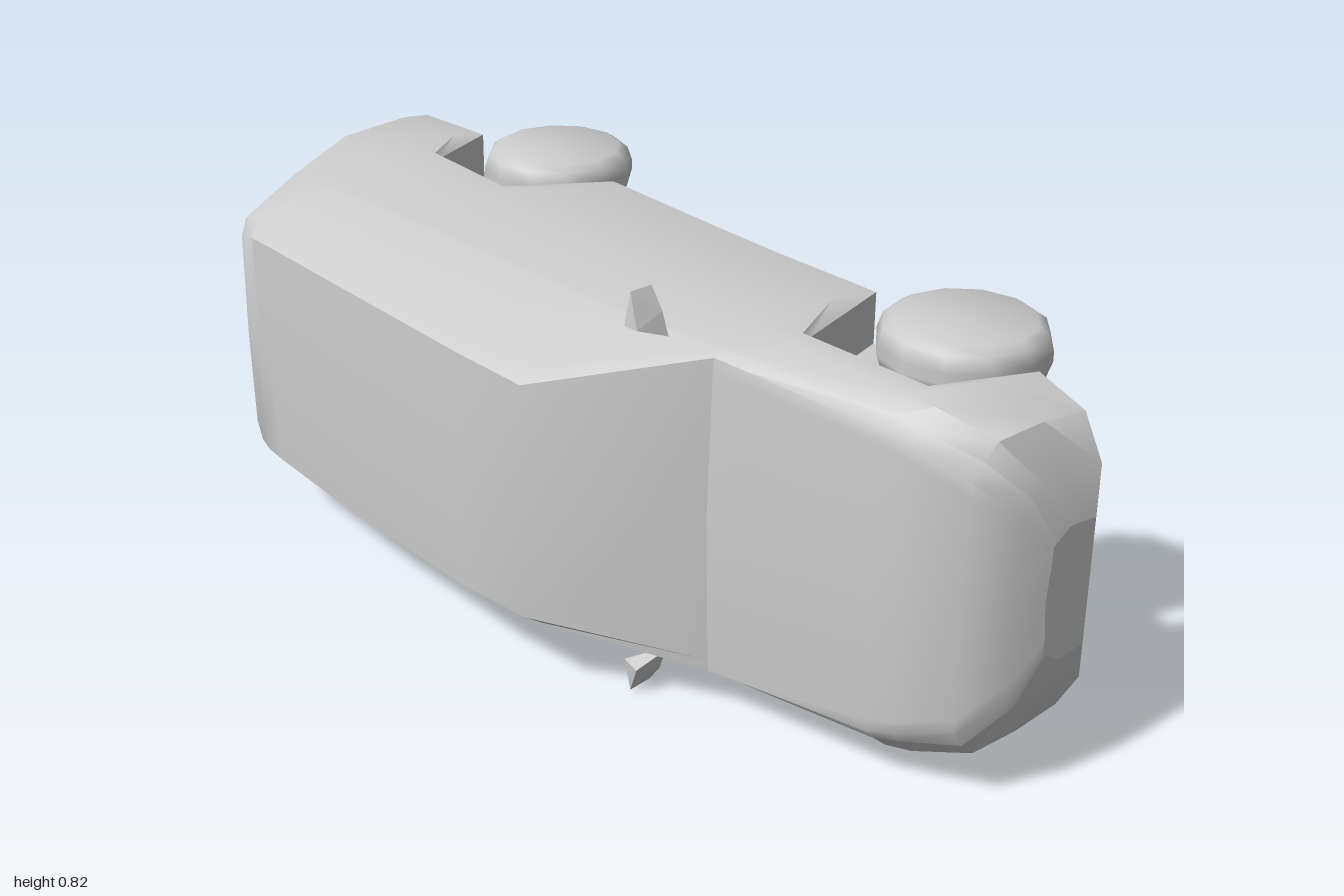
import * as THREE from 'three';
import { toCreasedNormals } from 'three/addons/utils/BufferGeometryUtils.js';
import { ConvexGeometry } from 'three/addons/geometries/ConvexGeometry.js';

// The car lies on its side: nose to +x, roof to +z, width along y.
const MID = 0.413;

// Piecewise linear lookup through [key, value] pairs
function lookup(pairs, t) {
  if (t <= pairs[0][0]) return pairs[0][1];
  for (let i = 1; i < pairs.length; i++) {
    const [k0, v0] = pairs[i - 1], [k1, v1] = pairs[i];
    if (t <= k1) return v0 + (v1 - v0) * (t - k0) / (k1 - k0);
  }
  return pairs[pairs.length - 1][1];
}

// Tail outline: x for a given height z
const TAIL = [[-0.2, -0.985], [-0.15, -0.975], [-0.05, -0.947], [0.05, -0.945], [0.35, -0.85], [0.41, -0.78]];

// Stations: x, floor z, sill or arch z, half width, belt z, belt half width, roof z, roof half width
const STATIONS = [
  [-1.00, -0.18, -0.18, 0.315, 0.20, 0.275, 0.375, 0.215],
  [-1.00, -0.19, -0.19, 0.342, 0.21, 0.305, 0.395, 0.235],
  [-0.75, -0.20, -0.20, 0.347, 0.22, 0.312, 0.400, 0.243],
  [-0.68, -0.21, -0.04, 0.349, 0.21, 0.317, 0.402, 0.246],
  [-0.42, -0.22, -0.03, 0.350, 0.20, 0.323, 0.407, 0.250],
  [-0.33, -0.23, -0.23, 0.351, 0.195, 0.325, 0.407, 0.250],
  [0.00, -0.225, -0.225, 0.352, 0.18, 0.327, 0.403, 0.247],
  [0.17, -0.225, -0.225, 0.352, 0.17, 0.328, 0.388, 0.240],
  [0.43, -0.23, -0.235, 0.352, 0.135, 0.330, 0.163, 0.295],
  [0.50, -0.225, 0.00, 0.351, 0.125, 0.330, 0.148, 0.290],
  [0.78, -0.225, -0.02, 0.347, 0.075, 0.318, 0.100, 0.270],
  [0.83, -0.225, -0.225, 0.340, 0.06, 0.305, 0.085, 0.255],
  [0.935, -0.225, -0.225, 0.305, 0.02, 0.275, 0.045, 0.215],
  [0.98, -0.225, -0.225, 0.220, -0.05, 0.205, -0.030, 0.150],
  [0.998, -0.20, -0.20, 0.130, -0.105, 0.110, -0.095, 0.080],
];

// One closed cross-section, floor centre to roof centre and back down the other side
function ring([x, floor, sill, w, belt, beltW, roof, roofW], i) {
  const shoulder = Math.min(0.05, belt - 0.03);
  const inner = Math.min(0.235, w * 0.68);
  const half = [
    [0, floor], [inner, floor], [inner, sill], [w * 0.96, sill],
    [w, Math.max(Math.min(-0.12, shoulder - 0.02), sill + 0.015)],
    [w * 0.995, shoulder], [beltW, belt],
    [roofW + 0.025, roof - (roof - belt) * 0.18], [roofW, roof - 0.003], [0, roof + 0.006],
  ];
  const all = [...half, ...half.slice(1, -1).reverse().map(([a, z]) => [-a, z])];
  return all.map(([a, z]) => new THREE.Vector3(Math.max(x, lookup(TAIL, z) + i * 0.03), MID + a, z));
}

const material = () => new THREE.MeshStandardMaterial({ color: 0xcccccc, side: THREE.DoubleSide });

function creased(corners, angle) {
  const geometry = new THREE.BufferGeometry().setFromPoints(corners);
  return toCreasedNormals(geometry, angle);
}

function createBody() {
  const rings = STATIONS.map(ring), n = rings[0].length, last = rings.length - 1;
  const panels = { underbody: [], sidePanels: [], cabin: [], hood: [], rearPanel: [], frontPanel: [] };
  const quad = (list, a, b, c, d) => list.push(a, b, d, b, c, d);

  // Skin between neighbouring stations
  for (let i = 0; i < last; i++) {
    for (let k = 0; k < n; k++) {
      const row = k < n / 2 ? k : n - 1 - k;
      const upper = STATIONS[i][0] >= 0.43 ? 'hood' : 'cabin';
      const name = row < 3 ? 'underbody' : row < 6 ? 'sidePanels' : upper;
      const m = (k + 1) % n;
      quad(panels[name], rings[i][k], rings[i][m], rings[i + 1][m], rings[i + 1][k]);
    }
  }
  // End panels, bridged from side to side
  for (let k = 0; k < n / 2; k++) {
    const m = k + 1, k2 = (n - k) % n, m2 = n - m;
    const r = rings[0], f = rings[last];
    quad(panels.rearPanel, r[k2], r[m2], r[m], r[k]);
    quad(panels.frontPanel, f[k], f[m], f[m2], f[k2]);
  }

  const body = new THREE.Group();
  body.name = 'body';
  for (const [name, corners] of Object.entries(panels)) {
    const mesh = new THREE.Mesh(creased(corners, 0.75), material());
    mesh.name = name;
    body.add(mesh);
  }
  return body;
}

// Rear bumper corners that stick out beyond the tail
function createBumperCorner(side) {
  const points = [[-0.998, 0.22, -0.17], [-0.97, 0.3, -0.18], [-0.945, 0.1, -0.17],
    [-0.945, 0.22, -0.04], [-0.93, 0.315, -0.06], [-0.9, 0.2, -0.19]];
  const geometry = new ConvexGeometry(points.map(([x, a, z]) => new THREE.Vector3(x, MID + side * a, z)));
  const mesh = new THREE.Mesh(geometry, material());
  mesh.name = 'rearBumperCorner';
  return mesh;
}

// Low-sided wheel with rounded tread, axle along y
function createWheel(x, side) {
  const profile = [[0, -0.052], [0.132, -0.052], [0.15, -0.04], [0.16, -0.01],
    [0.16, 0.01], [0.15, 0.04], [0.132, 0.052], [0, 0.052]];
  const lathe = new THREE.LatheGeometry(profile.map(([r, y]) => new THREE.Vector2(r, y)), 12);
  const mesh = new THREE.Mesh(toCreasedNormals(lathe, 0.9), material());
  mesh.name = x > 0 ? 'frontWheel' : 'rearWheel';
  mesh.position.set(x, MID + side * 0.296, -0.261);
  return mesh;
}

// Small wedge-shaped door mirror
function createMirror(side) {
  const points = [[0.32, 0.325, 0.168], [0.3, 0.33, 0.18], [0.27, 0.345, 0.228], [0.31, 0.35, 0.232],
    [0.275, 0.41, 0.17], [0.28, 0.412, 0.222], [0.305, 0.37, 0.17]];
  const geometry = new ConvexGeometry(points.map(([x, a, z]) => new THREE.Vector3(x, MID + side * a, z)));
  const mesh = new THREE.Mesh(geometry, material());
  mesh.name = 'doorMirror';
  return mesh;
}

export function createModel() {
  const car = new THREE.Group();
  car.name = 'car';
  car.add(createBody());
  for (const side of [-1, 1]) {
    car.add(createMirror(side), createBumperCorner(side));
    for (const x of [-0.557, 0.626]) car.add(createWheel(x, side));
  }
  return car;
}
